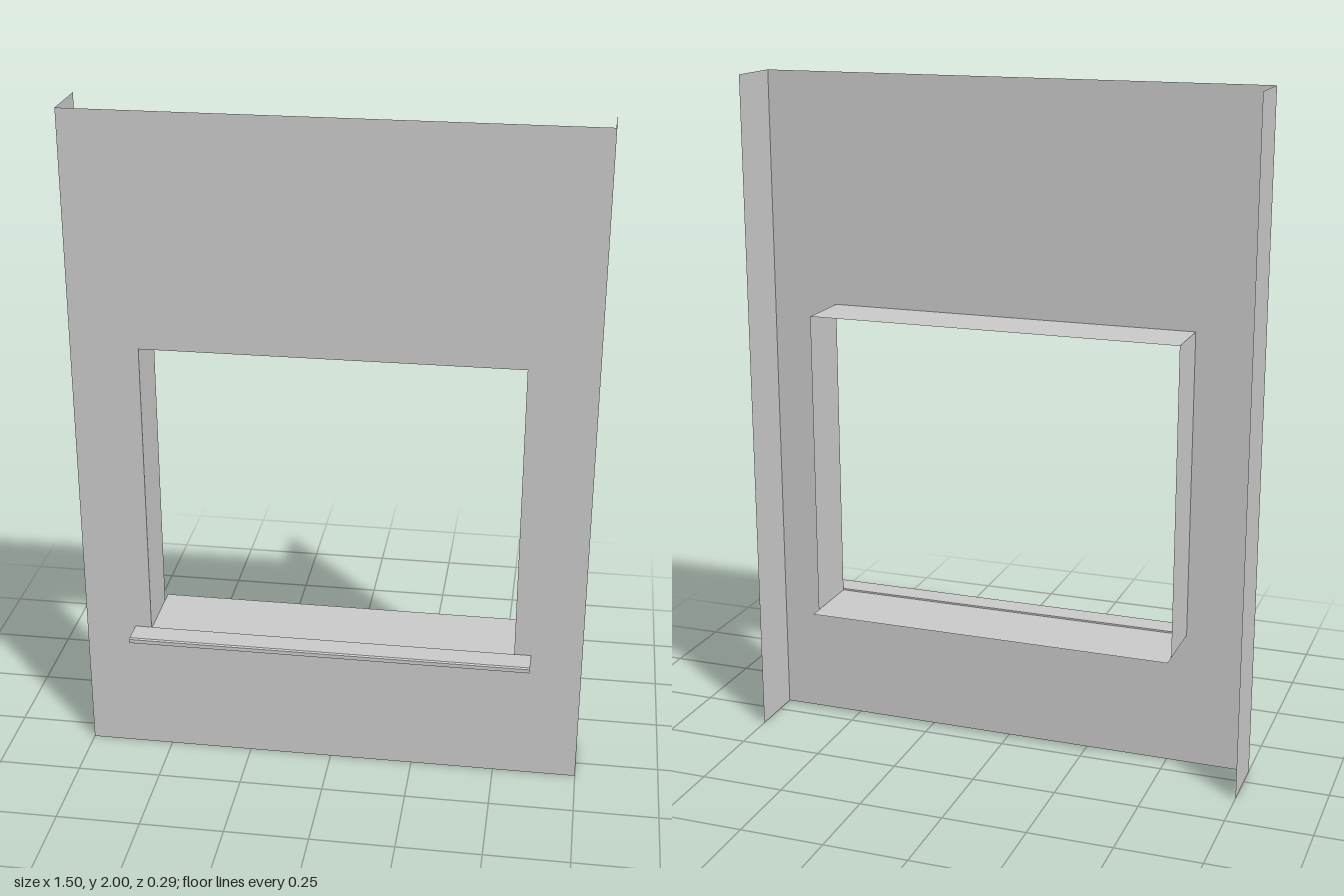
import * as THREE from 'three';

const W = 0.75, H = 2;               // panel half width, height
const FRONT = 0.07, BACK = -0.11;    // sheet depth range
const OX = 0.55, OY0 = 0.405, OY1 = 1.315; // window opening
const SILL_W = 0.6;

export function createModel() {
  const model = new THREE.Group();
  const material = new THREE.MeshStandardMaterial({ color: 0xcccccc, side: THREE.DoubleSide });

  const add = (name, geometry, x = 0, y = 0, z = 0) => {
    const mesh = new THREE.Mesh(geometry, material);
    mesh.name = name;
    mesh.position.set(x, y, z);
    model.add(mesh);
  };
  const depth = FRONT - BACK, midZ = (FRONT + BACK) / 2;
  // thin sheets facing sideways (+1 / -1) and up
  const sideSheet = (height, dir) => new THREE.PlaneGeometry(depth, height).rotateY(dir * Math.PI / 2);
  const flatSheet = (width, d) => new THREE.PlaneGeometry(width, d).rotateX(-Math.PI / 2);

  // front sheet with the window opening
  const rect = (shape, x, y0, y1) =>
    shape.moveTo(-x, y0).lineTo(x, y0).lineTo(x, y1).lineTo(-x, y1).closePath();
  const outline = rect(new THREE.Shape(), W, 0, H);
  outline.holes.push(rect(new THREE.Path(), OX, OY0, OY1));
  add('frontPanel', new THREE.ShapeGeometry(outline), 0, 0, FRONT);

  // returns at both outer edges and at the opening's sides
  for (const [side, dir] of [['left', 1], ['right', -1]]) {
    add(side + 'Flange', sideSheet(H, dir), dir * W, H / 2, midZ);
    add(side + 'Reveal', sideSheet(OY1 - OY0, dir), dir * OX, (OY0 + OY1) / 2, midZ);
  }
  add('topReveal', flatSheet(2 * OX, depth), 0, OY1, midZ);

  // bottom of the opening, running on past the back edge
  const backEdge = -0.148;
  add('bottomReveal', flatSheet(2 * OX, FRONT - backEdge), 0, OY0, (FRONT + backEdge) / 2);

  // projecting sill with a turned-down nose, profile drawn in z (to the front) and y
  const profile = new THREE.Shape([
    [FRONT, 0.404], [0.137, 0.404], [0.137, 0.394], [0.145, 0.394],
    [0.145, 0.406], [0.141, 0.41], [FRONT, 0.41],
  ].map(([z, y]) => new THREE.Vector2(-z, y)));
  const sill = new THREE.ExtrudeGeometry(profile, { depth: 2 * SILL_W, bevelEnabled: false });
  sill.translate(0, 0, -SILL_W).rotateY(Math.PI / 2);
  add('sill', sill);

  return model;
}
